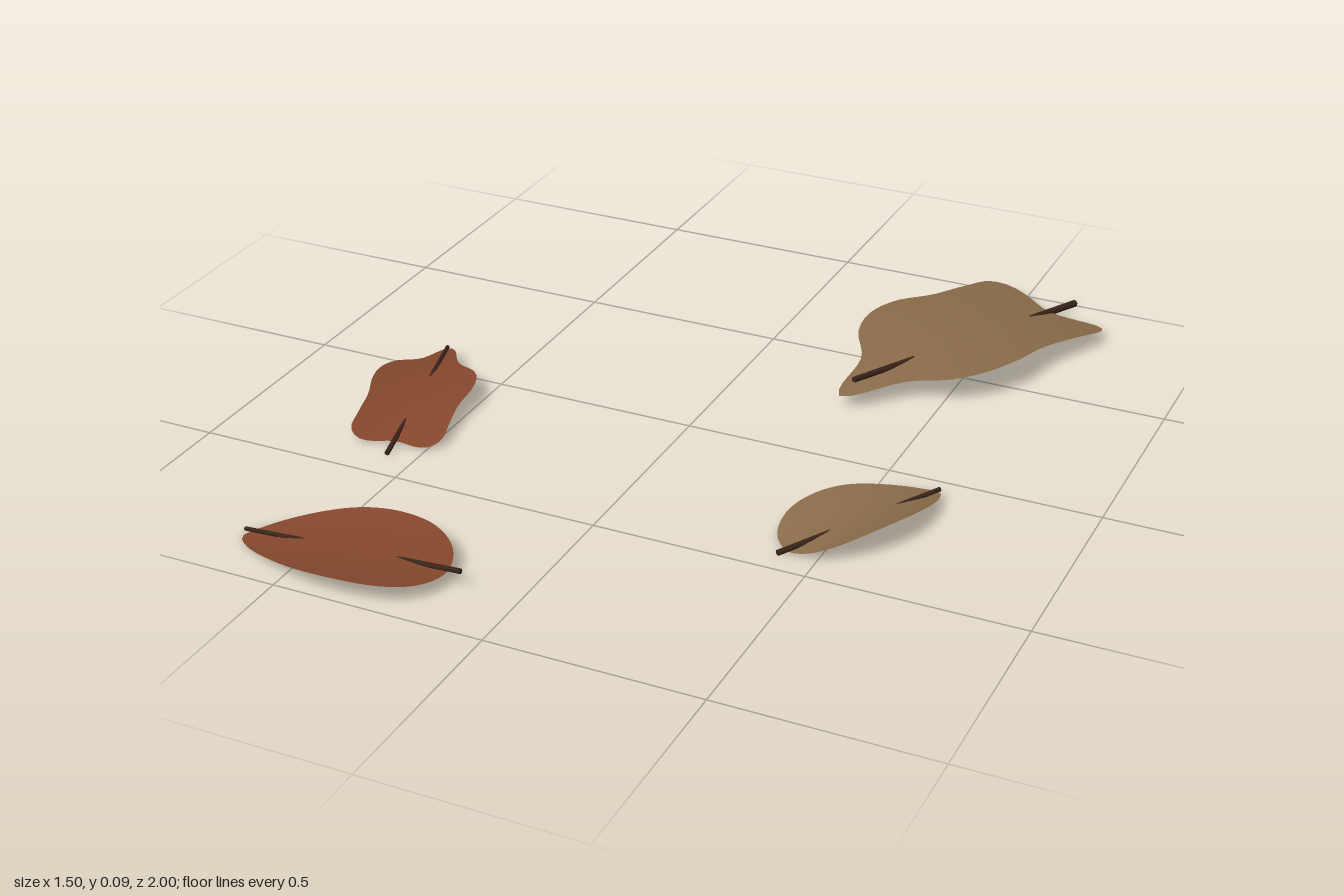
import * as THREE from 'three';

const tan = new THREE.MeshStandardMaterial({ name: 'tan leaf', color: 0x8a6c4a, side: THREE.DoubleSide });
const rust = new THREE.MeshStandardMaterial({ name: 'rust leaf', color: 0x85472d, side: THREE.DoubleSide });
const bark = new THREE.MeshStandardMaterial({ name: 'dark stem', color: 0x3a241a });

// Half outlines as [distance along the stem, half width], in stem lengths, from tip to base
const oval = [[-0.012, 0], [0.05, 0.082], [0.19, 0.178], [0.39, 0.26], [0.59, 0.28], [0.76, 0.247], [0.88, 0.155], [0.935, 0]];
const lobed = [
  [-0.06, 0], [-0.03, 0.03], [0.13, 0.1], [0.22, 0.205], [0.31, 0.25], [0.43, 0.26],
  [0.58, 0.235], [0.73, 0.235], [0.855, 0.232], [0.903, 0.19], [0.91, 0.13], [0.88, 0],
];

// Stem ends, the two places along the stem where the arched blade covers it,
// and the bend, cupping, sideways tilt and sideways offset of the blade
const leaves = [
  {
    name: 'largeLobedLeaf', half: lobed, material: tan, radius: 0.009,
    tip: [0.305, 0.064, -0.27], base: [0.627, 0.012, -0.995],
    cross: [0.27, 0.78], arch: 0.14, curl: 0.6, tilt: 0.02, shift: 0,
  },
  {
    name: 'smallLobedLeaf', half: lobed, material: rust, radius: 0.006,
    tip: [-0.669, 0.05, -0.04], base: [-0.569, 0.009, 0.42],
    cross: [0.32, 0.7], arch: 0.09, curl: 0.9, tilt: -0.03, shift: 0,
  },
  {
    name: 'smallOvalLeaf', half: oval, material: tan, radius: 0.007,
    tip: [0.648, 0.03, 0.077], base: [0.415, 0.01, 0.447],
    cross: [0.33, 0.64], arch: 0.09, curl: 1.6, tilt: 0.13, shift: -0.02,
  },
  {
    name: 'largeOvalLeaf', half: oval, material: rust, radius: 0.006,
    tip: [-0.664, 0.021, 0.855], base: [-0.135, 0.044, 0.844],
    cross: [0.3, 0.71], arch: 0.11, curl: 0.55, tilt: 0, shift: 0,
  },
];

// Thin blade: rings growing from the middle to the mirrored outline, bent by a height rule
function bladeGeometry(leaf) {
  const mirrored = leaf.half.slice(1, -1).reverse().map(([u, v]) => [u, -v]);
  const outline = [...leaf.half, ...mirrored].map(([u, v]) => new THREE.Vector3(u, v, 0));
  const n = 72, rings = 14;
  const edge = new THREE.CatmullRomCurve3(outline, true, 'centripetal').getSpacedPoints(n);
  const centre = new THREE.Vector3(0.45, 0, 0);

  const [tx, ty, tz] = leaf.tip;
  const [bx, by, bz] = leaf.base;
  const dx = bx - tx, dz = bz - tz;
  const length = Math.hypot(dx, dz);

  const positions = [], indices = [];
  for (let r = 0; r <= rings; r++) {
    for (let i = 0; i < n; i++) {
      const p = centre.clone().lerp(edge[i], r / rings);
      const u = p.x, v = p.y + leaf.shift, side = p.y * length;
      const stemTop = ty + (by - ty) * u + leaf.radius * 0.9;
      const hump = leaf.arch * (u - leaf.cross[0]) * (leaf.cross[1] - u);
      const y = stemTop + hump + leaf.curl * side * side + leaf.tilt * side;
      positions.push(tx + dx * u + dz * v, Math.max(0.003, y), tz + dz * u - dx * v);
    }
  }
  for (let r = 0; r < rings; r++) {
    for (let i = 0; i < n; i++) {
      const a = r * n + i, b = r * n + (i + 1) % n;
      if (r > 0) indices.push(a, b, a + n);
      indices.push(b, b + n, a + n);
    }
  }
  const geometry = new THREE.BufferGeometry();
  geometry.setAttribute('position', new THREE.Float32BufferAttribute(positions, 3));
  geometry.setIndex(indices);
  geometry.computeVertexNormals();
  return geometry;
}

// Straight stem, slightly tapered towards the tip
function makeStem(leaf) {
  const tip = new THREE.Vector3(...leaf.tip), base = new THREE.Vector3(...leaf.base);
  const axis = tip.clone().sub(base);
  const stem = new THREE.Mesh(
    new THREE.CylinderGeometry(leaf.radius * 0.8, leaf.radius, axis.length(), 8), bark);
  stem.position.copy(tip).add(base).multiplyScalar(0.5);
  stem.quaternion.setFromUnitVectors(new THREE.Vector3(0, 1, 0), axis.normalize());
  stem.name = 'stem';
  return stem;
}

export function createModel() {
  const model = new THREE.Group();
  model.name = 'fallenLeaves';
  for (const leaf of leaves) {
    const group = new THREE.Group();
    group.name = leaf.name;
    const blade = new THREE.Mesh(bladeGeometry(leaf), leaf.material);
    blade.name = 'blade';
    group.add(blade, makeStem(leaf));
    model.add(group);
  }
  return model;
}
